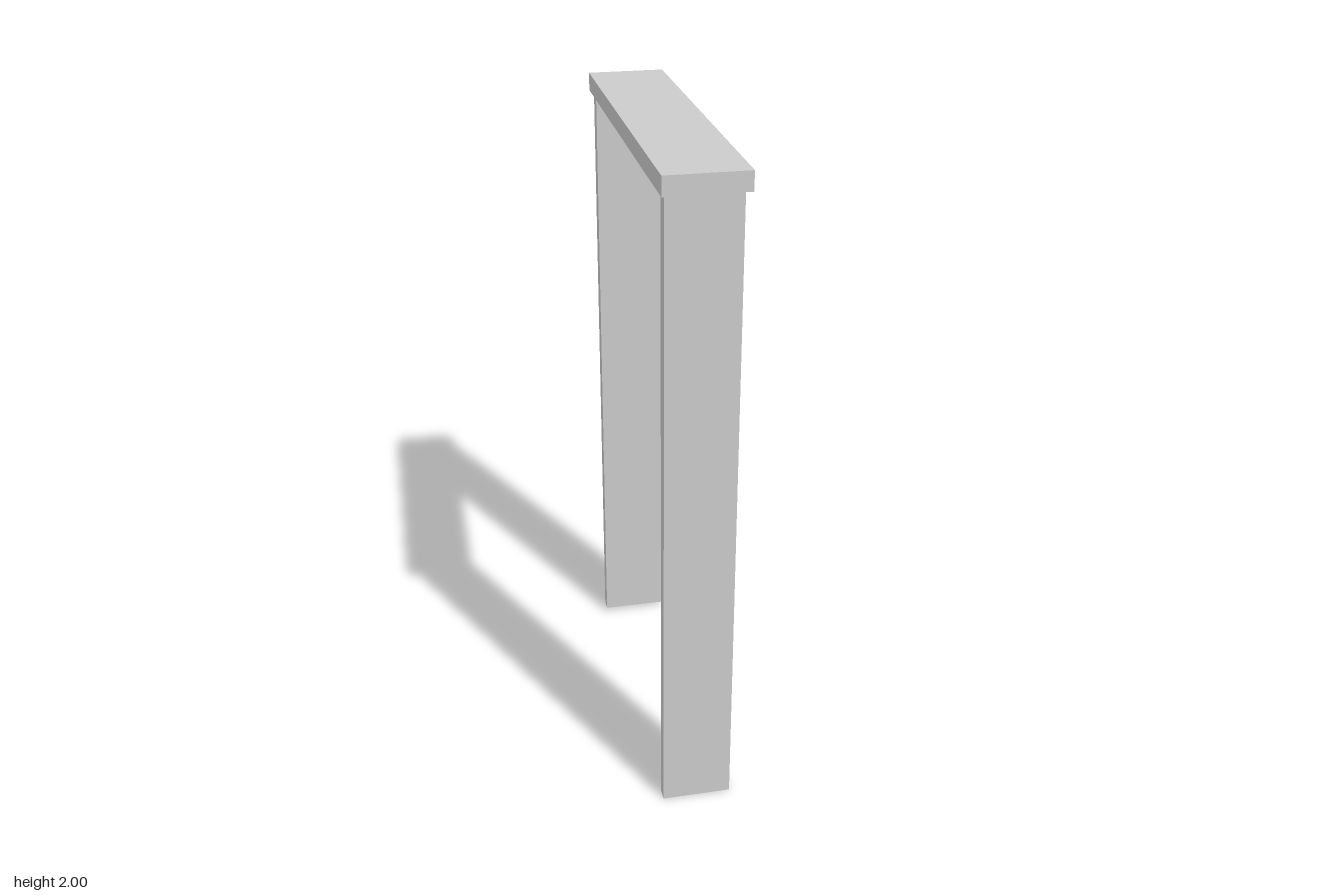
import * as THREE from 'three';

const material = new THREE.MeshStandardMaterial({ color: 0xcccccc, flatShading: true, side: THREE.DoubleSide });

// Box spanning y0..y1, centred on x = 0 and the given z
function addBox(group, name, width, y0, y1, depth, z, openEnds = false) {
  const geometry = new THREE.BoxGeometry(width, y1 - y0, depth);
  if (openEnds) {
    // Leave out the top and bottom faces (third and fourth sides of the box)
    const index = Array.from(geometry.index.array);
    index.splice(12, 12);
    geometry.setIndex(index);
    geometry.clearGroups();
  }
  const mesh = new THREE.Mesh(geometry, material);
  mesh.name = name;
  mesh.position.set(0, (y0 + y1) / 2, z);
  group.add(mesh);
}

export function createModel() {
  const group = new THREE.Group();
  group.name = 'doorFrame';

  // Lintel overhanging both posts
  addBox(group, 'lintel', 0.236, 1.945, 2, 1.15, 0);

  // Hollow posts, the rear one slightly wider and shorter
  addBox(group, 'frontPost', 0.21, 0, 1.945, 0.042, 0.524, true);
  addBox(group, 'backPost', 0.216, 0.014, 1.945, 0.042, -0.524, true);

  return group;
}
